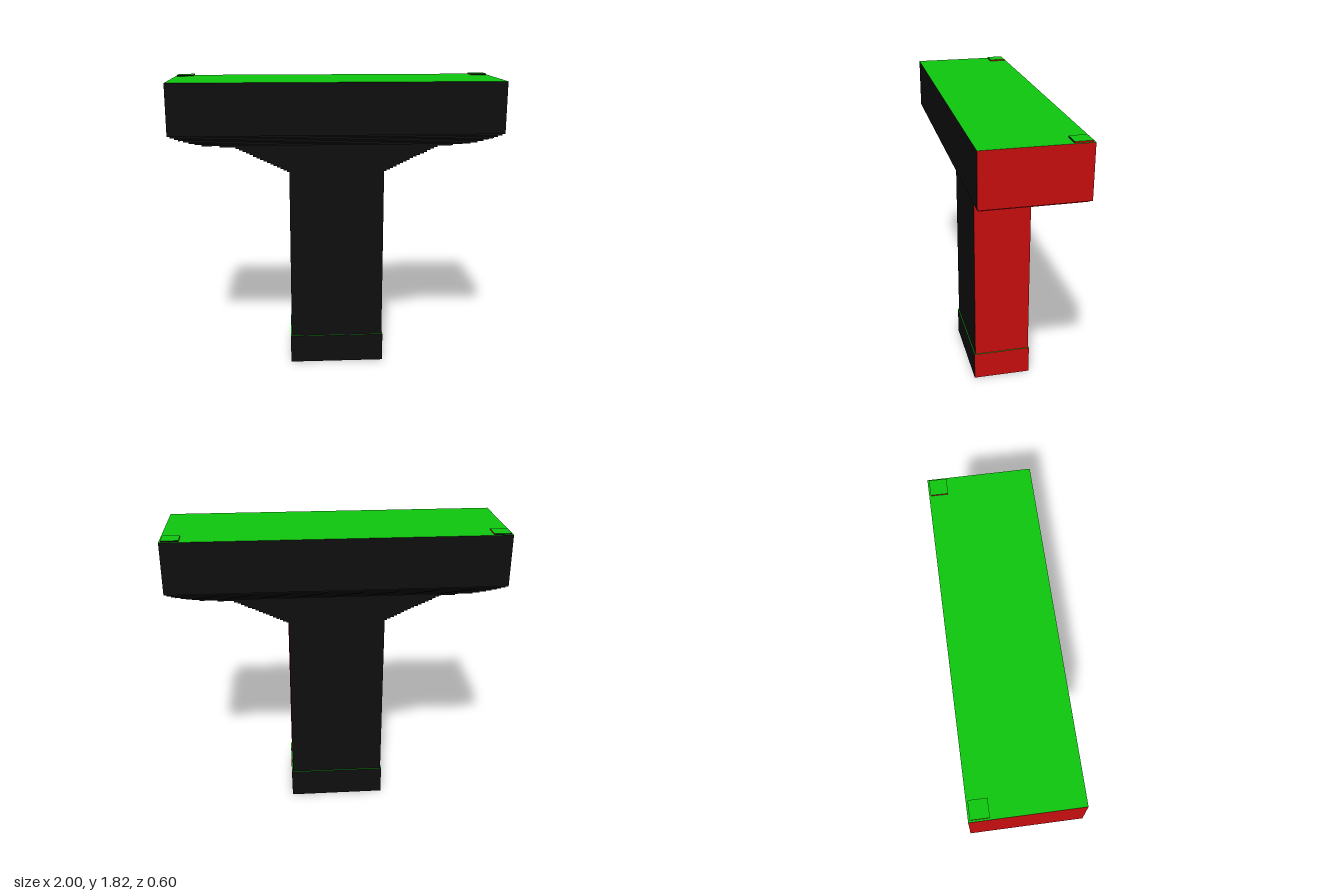
import * as THREE from 'three';

export function createModel() {
  const model = new THREE.Group();
  const mat = (name, color) => {
    const m = new THREE.MeshStandardMaterial({ color });
    m.name = name;
    return m;
  };
  const red = mat('red', 0xc80e0e);
  const green = mat('green', 0x0fc80f);
  const black = mat('black', 0x0e0e0e);
  // Box face order: +x, -x, +y, -y, +z, -z
  const faces = [red, red, green, black, black, black];

  // Block given by half width, half depth and its bottom and top heights
  function block(name, hx, hz, y0, y1, parent = model, x = 0, z = 0) {
    const mesh = new THREE.Mesh(new THREE.BoxGeometry(hx * 2, y1 - y0, hz * 2), faces);
    mesh.name = name;
    mesh.position.set(x, (y0 + y1) / 2, z);
    parent.add(mesh);
  }

  // Foot and shaft
  block('plinth', 0.297, 0.182, 0, 0.18);
  block('shaft', 0.291, 0.176, 0.18, 1.26);

  // Stepped flare: [y, half width, half depth] interpolated into thin layers
  const profile = [
    [1.26, 0.295, 0.182], [1.30, 0.375, 0.19], [1.34, 0.455, 0.194], [1.38, 0.54, 0.2],
    [1.42, 0.62, 0.206], [1.43, 0.79, 0.212], [1.45, 0.87, 0.235], [1.475, 0.94, 0.268], [1.5, 0.995, 0.296],
  ];
  const flare = new THREE.Group();
  flare.name = 'flare';
  model.add(flare);
  const layers = 24, step = 0.24 / layers;
  for (let i = 0; i < layers; i++) {
    const y = 1.26 + i * step, mid = y + step / 2;
    const k = profile.findIndex((p) => p[0] > mid);
    const a = profile[k - 1], b = profile[k];
    const t = (mid - a[0]) / (b[0] - a[0]);
    block('flareLayer', THREE.MathUtils.lerp(a[1], b[1], t), THREE.MathUtils.lerp(a[2], b[2], t), y, y + step, flare);
  }

  // Cap beam and the low pads on its back corners
  block('capBeam', 1, 0.299, 1.5, 1.81);
  for (const s of [-1, 1]) block('cornerPad', 0.05, 0.05, 1.81, 1.818, model, s * 0.94, -0.24);

  return model;
}
